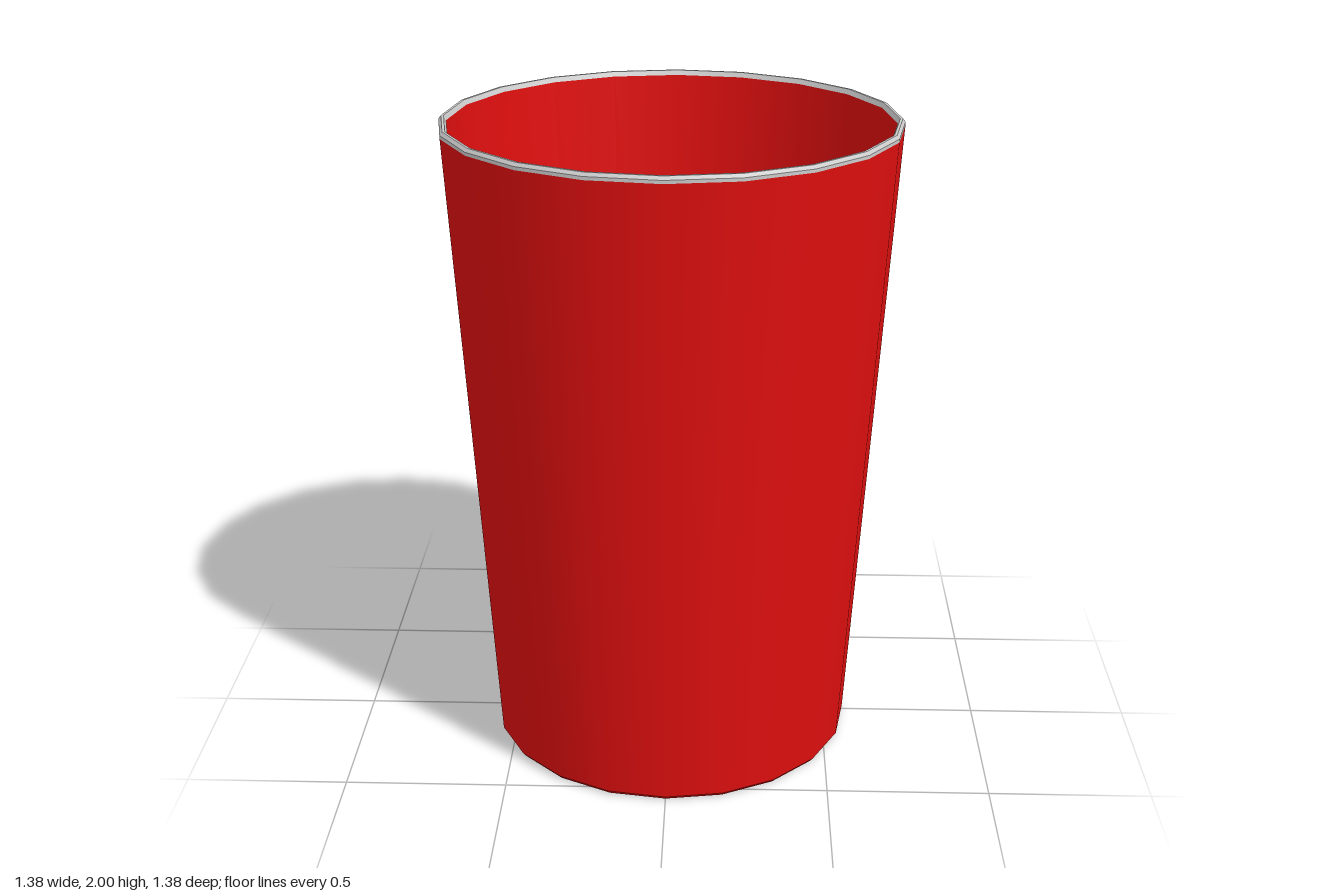
import * as THREE from 'three';

const SIDES = 20;
const red = new THREE.MeshStandardMaterial({ color: 0xe00f0f });
const grey = new THREE.MeshStandardMaterial({ color: 0xcccccc });

// Revolve a profile of [radius, height] pairs; each band keeps its own sharp edges.
function band(name, profile, material) {
  const points = profile.map(([r, y]) => new THREE.Vector2(r, y));
  const mesh = new THREE.Mesh(new THREE.LatheGeometry(points, SIDES), material);
  mesh.name = name;
  return mesh;
}

export function createModel() {
  const cup = new THREE.Group();
  cup.name = 'cup';

  // The profile runs from under the base, up the outside, over the rim and down inside.
  cup.add(
    band('baseUnderside', [[0, 0], [0.56, 0]], red),
    band('baseBevel', [[0.56, 0], [0.57, 0.012]], red),
    band('outerWall', [[0.57, 0.012], [0.692, 1.98]], red),
    band('rimOuter', [[0.692, 1.98], [0.692, 1.99]], grey),
    band('rimOuterBevel', [[0.692, 1.99], [0.684, 2]], grey),
    band('rimTop', [[0.684, 2], [0.676, 2]], grey),
    band('rimInnerBevel', [[0.676, 2], [0.669, 1.985]], grey),
    band('innerWall', [[0.669, 1.985], [0.563, 0.03]], red),
    band('floorBevel', [[0.563, 0.03], [0.555, 0.02]], red),
    band('floor', [[0.555, 0.02], [0, 0.02]], red),
  );
  return cup;
}
